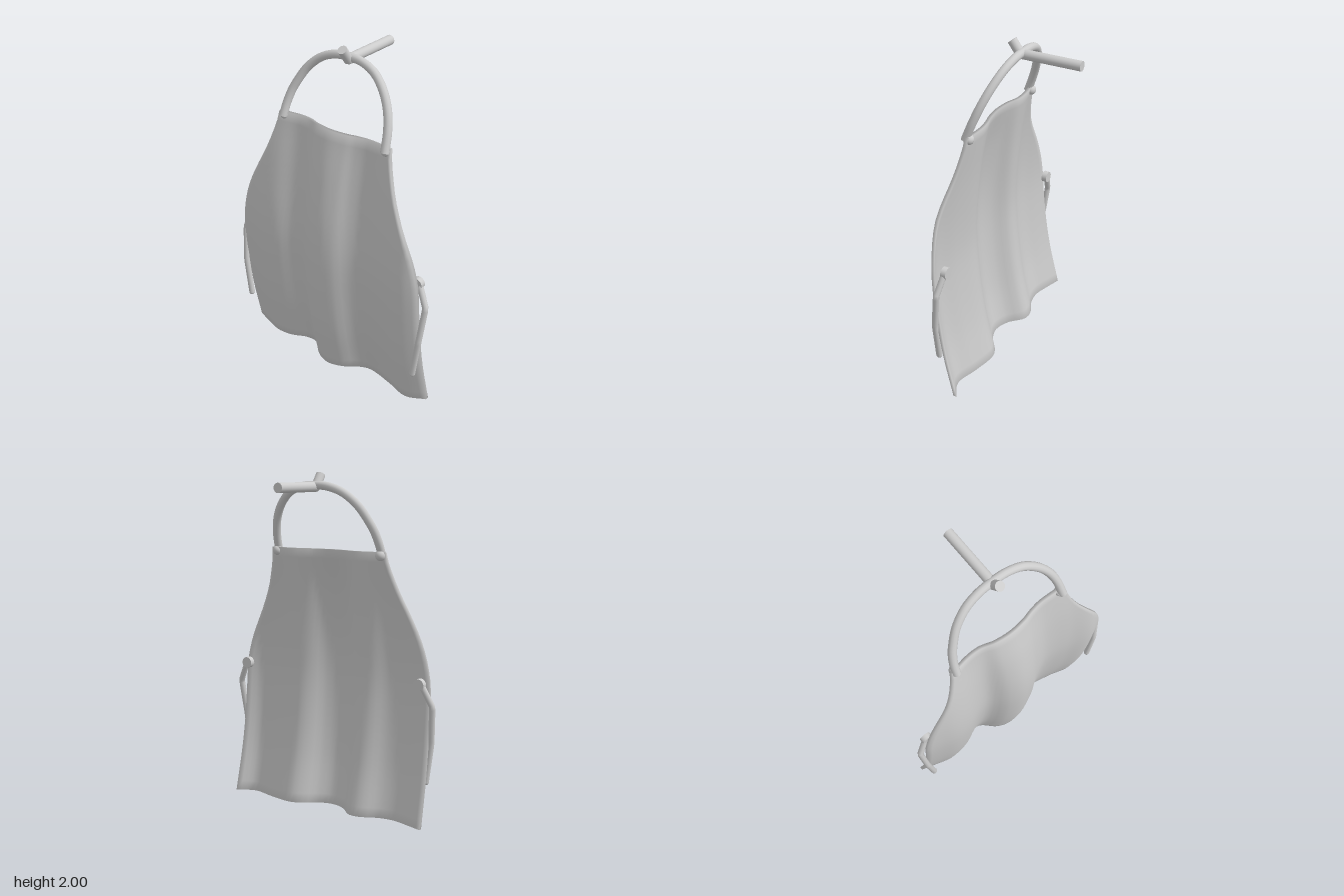
import * as THREE from 'three';

const V = (x, y, z) => new THREE.Vector3(x, y, z);

// smooth interpolation through [position, value] pairs
function curve(pts) {
  const n = pts.length;
  const slope = (i) => {
    const a = pts[Math.max(i - 1, 0)], b = pts[Math.min(i + 1, n - 1)];
    return (b[1] - a[1]) / (b[0] - a[0]);
  };
  return (x) => {
    x = Math.min(Math.max(x, pts[0][0]), pts[n - 1][0]);
    let i = 0;
    while (i < n - 2 && x > pts[i + 1][0]) i++;
    const [x0, y0] = pts[i], [x1, y1] = pts[i + 1];
    const h = x1 - x0, t = (x - x0) / h, t2 = t * t, t3 = t2 * t;
    return (2 * t3 - 3 * t2 + 1) * y0 + (t3 - 2 * t2 + t) * h * slope(i)
      + (3 * t2 - 2 * t3) * y1 + (t3 - t2) * h * slope(i + 1);
  };
}

// apron outline, side profile limits and fold depth across the width
const halfWidth = curve([[0, 0.66], [0.4, 0.652], [0.8, 0.645], [0.9, 0.63], [1, 0.603],
  [1.1, 0.562], [1.2, 0.51], [1.3, 0.458], [1.4, 0.42], [1.5, 0.392], [1.555, 0.385]]);
const frontZ = curve([[0, 0.24], [0.3, 0.295], [0.7, 0.325], [1, 0.315], [1.3, 0.265], [1.555, 0.195]]);
const backZ = curve([[0, 0.105], [0.3, 0.168], [0.6, 0.205], [0.85, 0.215], [1.2, 0.188], [1.555, 0.138]]);
const fold = curve([[-0.66, 0.05], [-0.56, 0.32], [-0.46, 0.55], [-0.36, 0.45], [-0.26, 0.05], [-0.18, 0.08],
  [-0.1, 0.72], [0, 1], [0.1, 0.72], [0.16, 0.3], [0.24, 0.02], [0.4, 0.25], [0.55, 0.55], [0.66, 0.08]]);

// closed cloth shell built from one cross-section loop per row
function clothGeometry() {
  const rows = 28, cols = 48, thick = 0.02, n = 2 * (cols + 1);
  const pos = [], index = [];
  const quad = (a, b, c, d) => index.push(a, b, c, a, c, d);
  for (let j = 0; j <= rows; j++) {
    const y = 1.555 * j / rows, w = halfWidth(y), b = backZ(y) + thick, f = frontZ(y);
    for (let k = 0; k < n; k++) {
      const back = k > cols, i = back ? n - 1 - k : k;
      const x = w * (2 * i / cols - 1);
      pos.push(x, y, b + fold(x) * (f - b) - (back ? thick : 0));
    }
  }
  for (let j = 0; j < rows; j++)
    for (let k = 0; k < n; k++) {
      const m = (k + 1) % n;
      quad(j * n + k, j * n + m, (j + 1) * n + m, (j + 1) * n + k);
    }
  const top = rows * n;
  for (let i = 0; i < cols; i++) {
    quad(top + i, top + i + 1, top + n - 2 - i, top + n - 1 - i);
    quad(i, n - 1 - i, n - 2 - i, i + 1);
  }
  const g = new THREE.BufferGeometry();
  g.setAttribute('position', new THREE.Float32BufferAttribute(pos, 3));
  g.setIndex(index);
  g.computeVertexNormals();
  return g;
}

export function createModel() {
  const group = new THREE.Group();
  const cloth = new THREE.MeshStandardMaterial({ color: 0xcccccc });
  cloth.name = 'light grey';

  const add = (name, geometry, p = V(0, 0, 0)) => {
    const mesh = new THREE.Mesh(geometry, cloth);
    mesh.name = name;
    mesh.position.copy(p);
    group.add(mesh);
    return mesh;
  };
  // capped straight rod between two points
  const rod = (name, a, b, r) => {
    const dir = b.clone().sub(a);
    const mesh = add(name, new THREE.CylinderGeometry(r, r, dir.length(), 20), a.clone().add(b).multiplyScalar(0.5));
    mesh.quaternion.setFromUnitVectors(V(0, 1, 0), dir.normalize());
  };

  add('apronCloth', clothGeometry());

  // neck loop leaning back towards its top
  const arch = [[-0.355, 1.53], [-0.35, 1.6], [-0.335, 1.67], [-0.315, 1.72], [-0.26, 1.815], [-0.18, 1.885],
    [-0.09, 1.918], [0, 1.925], [0.09, 1.918], [0.18, 1.885], [0.26, 1.815], [0.315, 1.73], [0.345, 1.64], [0.36, 1.53]];
  const archPath = new THREE.CatmullRomCurve3(arch.map(([x, y]) => V(x, y, 0.172 - (y - 1.55) * 0.39)));
  add('neckLoop', new THREE.TubeGeometry(archPath, 60, 0.024, 12));

  // hanging peg with its upturned tip
  rod('pegRod', V(0, 1.915, 0.04), V(0, 1.915, -0.325), 0.028);
  rod('pegTip', V(0, 1.91, 0.035), V(0, 1.983, 0.088), 0.027);

  for (const [side, s] of [['left', 1], ['right', -1]]) {
    add(side + 'ShoulderKnot', new THREE.SphereGeometry(0.03, 20, 14), V(s * 0.355, 1.535, 0.16));

    // side tie: a round button behind the edge and a bent strap
    const button = add(side + 'TieButton', new THREE.CylinderGeometry(0.034, 0.034, 0.032, 24), V(s * 0.605, 0.822, 0.181));
    button.rotation.x = Math.PI / 2;
    const strap = new THREE.CurvePath();
    const p = [V(s * 0.62, 0.815, 0.185), V(s * 0.677, 0.7, 0.205), V(s * 0.66, 0.48, 0.235), V(s * 0.628, 0.245, 0.238)];
    for (let i = 0; i < 3; i++) strap.add(new THREE.LineCurve3(p[i], p[i + 1]));
    add(side + 'TieStrap', new THREE.TubeGeometry(strap, 24, 0.018, 10));
    add(side + 'TieEnd', new THREE.SphereGeometry(0.018, 12, 8), p[3]);
  }
  return group;
}
